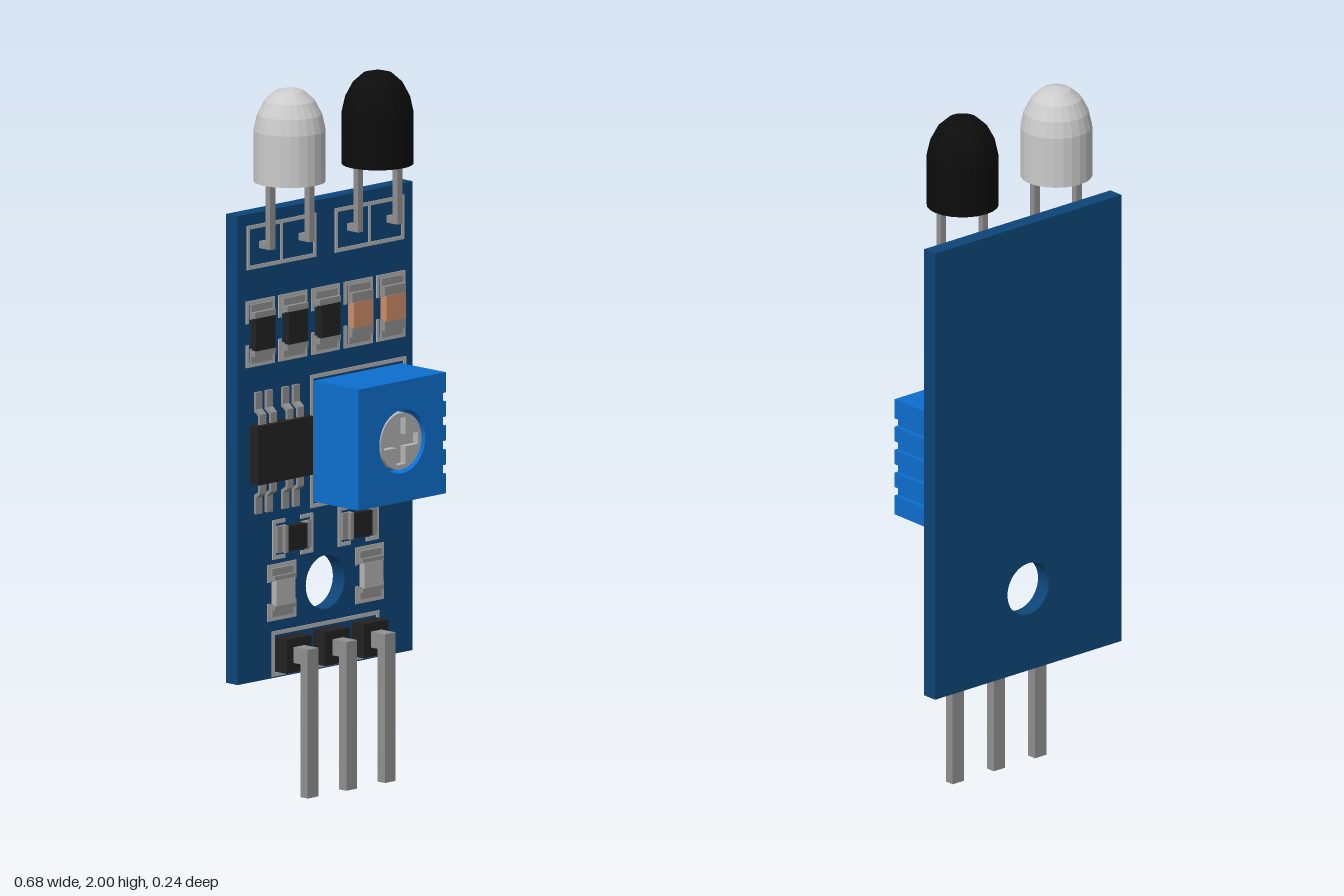
import * as THREE from 'three';

const mat = (color) => new THREE.MeshStandardMaterial({ color, flatShading: true });
const M = {
  board: mat(0x0d4578), pot: mat(0x0d6fcf), black: mat(0x222222), ledBlack: mat(0x0c0c0c),
  silk: mat(0xb4b4b4), metal: mat(0x909090), grey: mat(0xcccccc), orange: mat(0xcc8e68),
};
const FACE = -0.055; // front surface of the board

function add(parent, name, geometry, material, x = 0, y = 0, z = 0) {
  const mesh = new THREE.Mesh(geometry, material);
  mesh.name = name;
  mesh.position.set(x, y, z);
  parent.add(mesh);
  return mesh;
}

// Box given by its limits on each axis
function box(parent, name, material, x0, x1, y0, y1, z0, z1) {
  return add(parent, name, new THREE.BoxGeometry(x1 - x0, y1 - y0, z1 - z0), material,
    (x0 + x1) / 2, (y0 + y1) / 2, (z0 + z1) / 2);
}

function group(parent, name, x = 0, y = 0) {
  const g = new THREE.Group();
  g.name = name;
  g.position.set(x, y, 0);
  parent.add(g);
  return g;
}

function polygon(points) {
  return new THREE.Shape(points.map(([x, y]) => new THREE.Vector2(x, y)));
}

function extrude(shape, depth, curveSegments = 24) {
  return new THREE.ExtrudeGeometry(shape, { depth, bevelEnabled: false, curveSegments });
}

function circleHole(x, y, r) {
  return new THREE.Path().absarc(x, y, r, 0, Math.PI * 2, true);
}

// Printed rectangular outline
function outline(parent, x0, x1, y0, y1, t = 0.011) {
  const s = polygon([[x0, y0], [x1, y0], [x1, y1], [x0, y1]]);
  s.holes.push(polygon([[x0 + t, y0 + t], [x0 + t, y1 - t], [x1 - t, y1 - t], [x1 - t, y0 + t]]));
  add(parent, 'printedOutline', extrude(s, 0.003), M.silk, 0, 0, FACE);
}

// Surface-mounted chip, upright along y, with printed brackets round both ends
function chip(root, name, x, y, o) {
  const g = group(root, name, x, y);
  const { hw, hh, bodyH, body, bw, bh, gap, top } = o;
  const t = 0.011;
  box(g, 'chipBody', body, -hw * 0.92, hw * 0.92, -bodyH, bodyH, FACE, top);
  for (const s of [1, -1]) {
    const end = group(g, 'chipEnd');
    end.rotation.z = s > 0 ? 0 : Math.PI;
    box(end, 'solderPad', M.metal, -hw, hw, bodyH * 0.9, hh, FACE, FACE + 0.008);
    box(end, 'endCap', M.metal, -hw, hw, bodyH, hh - 0.02, FACE, top - 0.002);
    add(end, 'printedBracket', extrude(polygon([
      [-bw, gap], [-bw + t, gap], [-bw + t, bh - t], [bw - t, bh - t],
      [bw - t, gap], [bw, gap], [bw, bh], [-bw, bh],
    ]), 0.003), M.silk, 0, 0, FACE);
  }
  return g;
}

// Bulb with two bent legs
function led(root, name, x, material) {
  const g = group(root, name, x);
  const profile = [[0, 1.735], [0.1, 1.735], [0.1, 1.88], [0.09, 1.925], [0.07, 1.963], [0.04, 1.99], [0, 2]]
    .map(([r, y]) => new THREE.Vector2(r, y));
  add(g, 'bulb', new THREE.LatheGeometry(profile, 24), material, 0, 0, -0.022);
  for (const lx of [-0.077, 0.077]) {
    box(g, 'leg', M.metal, lx - 0.01, lx + 0.01, 1.553, 1.74, -0.03, -0.011);
    box(g, 'legFoot', M.metal, lx - 0.01, lx + 0.01, 1.553, 1.573, FACE, -0.03);
  }
  outline(g, -0.135, 0.135, 1.497, 1.622);
  box(g, 'printedDivider', M.silk, -0.005, 0.005, 1.5, 1.62, FACE, FACE + 0.003);
}

function trimmer(root) {
  const g = group(root, 'trimmer', 0.127, 0.976);
  const h = 0.171;
  // Square body with shallow grooves along one side
  const side = [];
  for (let i = 0; i < 4; i++) {
    const y = -0.115 + i * 0.068;
    side.push([h, y], [h - 0.012, y], [h - 0.012, y + 0.025], [h, y + 0.025]);
  }
  const body = polygon([[-h, -h], [h, -h], ...side, [h, h], [-h, h]]);
  body.holes.push(circleHole(0, 0, 0.09));
  add(g, 'trimmerBody', extrude(body, 0.175), M.pot, 0, 0, FACE);
  // Recessed dial with a cross slot
  add(g, 'dialFloor', new THREE.CylinderGeometry(0.089, 0.089, 0.13, 24).rotateX(Math.PI / 2), M.pot, 0, 0, 0.012);
  const a = 0.017, b = 0.066;
  const dial = new THREE.Shape().absarc(0, 0, 0.08, 0, Math.PI * 2);
  dial.holes.push(polygon([
    [a, a], [a, b], [-a, b], [-a, a], [-b, a], [-b, -a],
    [-a, -a], [-a, -b], [a, -b], [a, -a], [b, -a], [b, a],
  ]));
  add(g, 'dial', extrude(dial, 0.03), M.silk, 0, 0, 0.085);
  add(g, 'dialSlotFloor', new THREE.CircleGeometry(0.078, 24), M.silk, 0, 0, 0.095);
  outline(g, -0.187, 0.189, -0.187, 0.189);
}

function integratedCircuit(root) {
  const g = group(root, 'integratedCircuit', -0.193, 0.976);
  box(g, 'circuitBody', M.black, -0.107, 0.107, -0.083, 0.083, FACE + 0.005, -0.017);
  for (const x of [-0.074, -0.032, 0.032, 0.074]) {
    for (const s of [1, -1]) {
      const leg = group(g, 'circuitLeg', x);
      leg.rotation.z = s > 0 ? 0 : Math.PI;
      // Gull-wing side profile, extruded across the leg's width
      const wing = extrude(polygon([
        [0.08, -0.038], [0.08, -0.03], [0.112, -0.03], [0.125, -0.046],
        [0.172, -0.046], [0.172, FACE], [0.118, FACE], [0.107, -0.038],
      ]), 0.024);
      wing.applyMatrix4(new THREE.Matrix4().set(0, 0, 1, -0.012, 1, 0, 0, 0, 0, 1, 0, 0, 0, 0, 0, 1));
      add(leg, 'gullWing', wing, M.metal);
    }
  }
}

export function createModel() {
  const root = new THREE.Group();
  root.name = 'sensorModule';

  // Circuit board with mounting hole
  const board = polygon([[-0.342, 0.33], [0.342, 0.33], [0.342, 1.655], [-0.342, 1.655]]);
  board.holes.push(circleHole(0, 0.572, 0.076));
  add(root, 'circuitBoard', extrude(board, 0.046), M.board, 0, 0, -0.101);

  led(root, 'clearLed', -0.172, M.grey);
  led(root, 'darkLed', 0.172, M.ledBlack);

  // Upper row of chips
  for (let i = 0; i < 5; i++) {
    chip(root, i < 3 ? 'resistor' : 'capacitor', (i - 2) * 0.1275, 1.315, {
      hw: 0.041, hh: 0.083, bodyH: i < 3 ? 0.046 : 0.036, body: i < 3 ? M.black : M.orange,
      bw: 0.056, bh: 0.094, gap: 0.03, top: -0.032,
    });
  }

  trimmer(root);
  integratedCircuit(root);

  // Small chips lying sideways, and indicator lights beside the hole
  for (const s of [-1, 1]) {
    chip(root, 'smallResistor', s * 0.128, 0.72, {
      hw: 0.038, hh: 0.067, bodyH: 0.036, body: M.black, bw: 0.056, bh: 0.079, gap: 0.03, top: -0.033,
    }).rotation.z = Math.PI / 2;
    chip(root, 'indicatorLight', s * 0.172, 0.572, {
      hw: 0.041, hh: 0.068, bodyH: 0.036, body: M.silk, bw: 0.056, bh: 0.08, gap: 0.03, top: -0.036,
    });
  }

  // Header with three angled pins
  outline(root, -0.21, 0.21, 0.334, 0.462);
  for (const x of [-0.151, 0, 0.151]) {
    const g = group(root, 'headerPin', x);
    box(g, 'pinHousing', M.black, -0.048, 0.048, 0.348, 0.444, FACE, -0.006);
    box(g, 'pinBend', M.metal, -0.021, 0.021, 0.375, 0.42, -0.01, 0.02);
    box(g, 'pin', M.metal, -0.021, 0.021, 0, 0.42, 0.02, 0.049);
  }
  return root;
}
